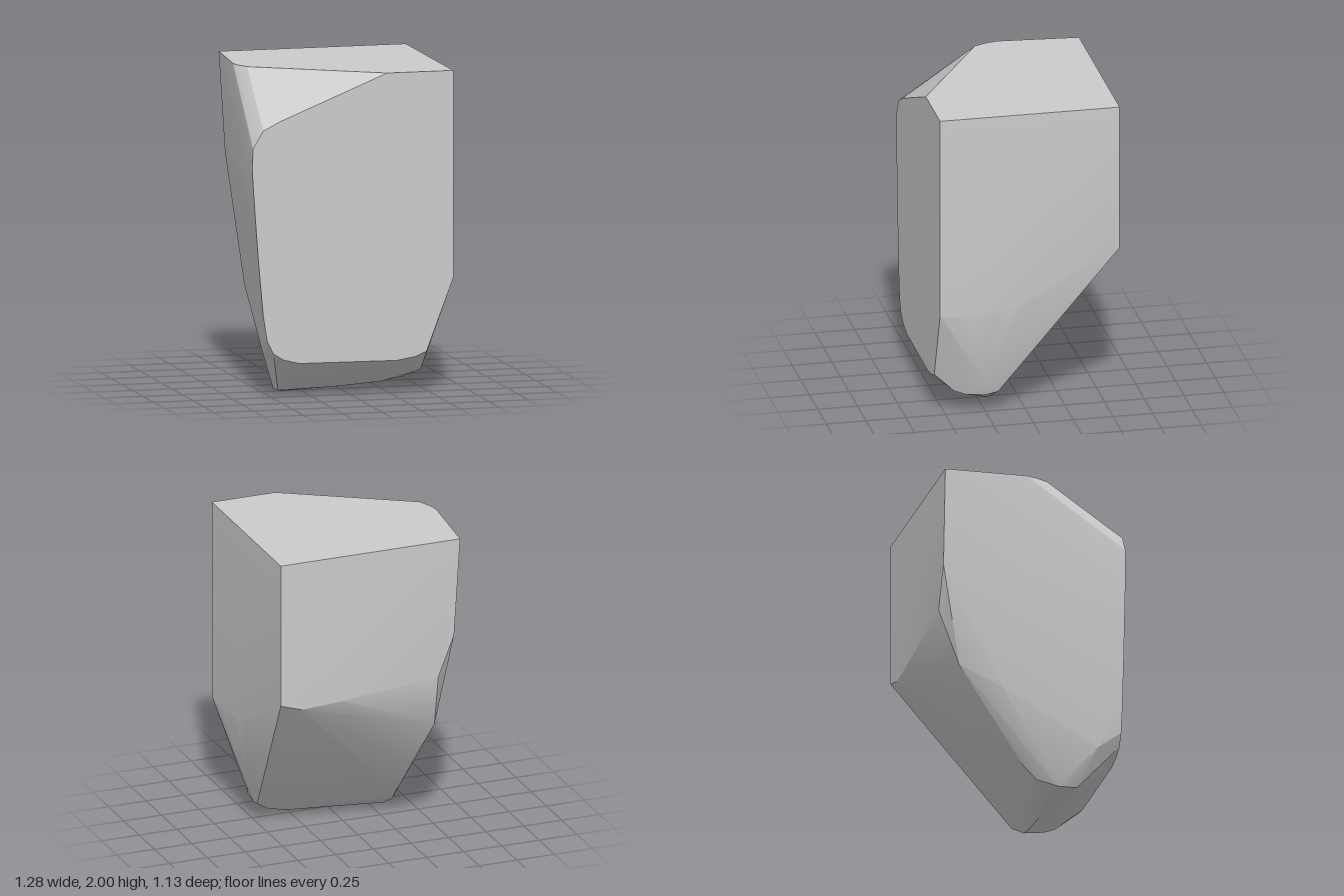
import * as THREE from 'three';
import { ConvexGeometry } from 'three/addons/geometries/ConvexGeometry.js';
import { toCreasedNormals } from 'three/addons/utils/BufferGeometryUtils.js';

const W = 0.64, D = 0.565, H = 2;

// Outlines of the flat cut faces, each listed in its own plane
const topOutline = [[W, -D], [-0.55, -D], [-0.595, -0.06], [-0.58, 0.01], [-0.545, 0.09], [0.22, D], [W, D]]; // x, z
const frontOutline = [ // x, y
  [-0.46, 1.725], [-0.57, 1.67], [-0.635, 1.56], [-0.64, 1.42], [-0.62, 1.12], [-0.6, 0.85], [-0.57, 0.52],
  [-0.545, 0.36], [-0.505, 0.28], [-0.44, 0.24], [-0.34, 0.215], [0.28, 0.21], [0.4, 0.23], [0.47, 0.26], [W, 0.71],
];
const rightOutline = [[0.69, 0.47], [0.685, 0.37], [0.695, 0.22], [0.72, 0.12], [0.75, 0.03], [1.07, -D]]; // y, z
const backOutline = [[0.5, 1.025], [0.22, 1.04], [-0.405, 1.105], [-0.51, 1.37]]; // x, y

// Rounded tip and the sloping underside: x, y, z
const tip = [
  [0.535, 0.21, 0.25], [0.47, 0.14, 0.44], [0.48, 0.115, 0.37], [0.49, 0.105, 0.25], [0.5, 0.125, 0.17],
  [0.4, 0.055, 0.22], [0.27, 0.03, 0.22], [0, 0.01, 0.22], [-0.34, 0, 0.24], [-0.34, 0.005, 0.17],
  [-0.41, 0.01, 0.2], [-0.41, 0.015, 0.32], [-0.53, 0.25, 0.42],
];
const underside = [
  [-0.36, 0.06, 0.08], [-0.35, 0.14, 0], [-0.36, 0.4, -0.2], [-0.43, 0.74, -0.44], [-0.49, 0.6, -0.18],
];

export function createModel() {
  const points = [
    ...topOutline.map(([x, z]) => [x, H, z]),
    ...frontOutline.map(([x, y]) => [x, y, D]),
    ...rightOutline.map(([y, z]) => [W, y, z]),
    ...backOutline.map(([x, y]) => [x, y, -D]),
    ...tip,
    ...underside,
  ].map((p) => new THREE.Vector3(...p));

  // One convex stone chunk wrapped around the outlines
  const geometry = toCreasedNormals(new ConvexGeometry(points), 0.35);
  const stone = new THREE.Mesh(geometry, new THREE.MeshStandardMaterial({ color: 0xcccccc }));
  stone.name = 'stoneChunk';

  const group = new THREE.Group();
  group.name = 'stone';
  group.add(stone);
  return group;
}
